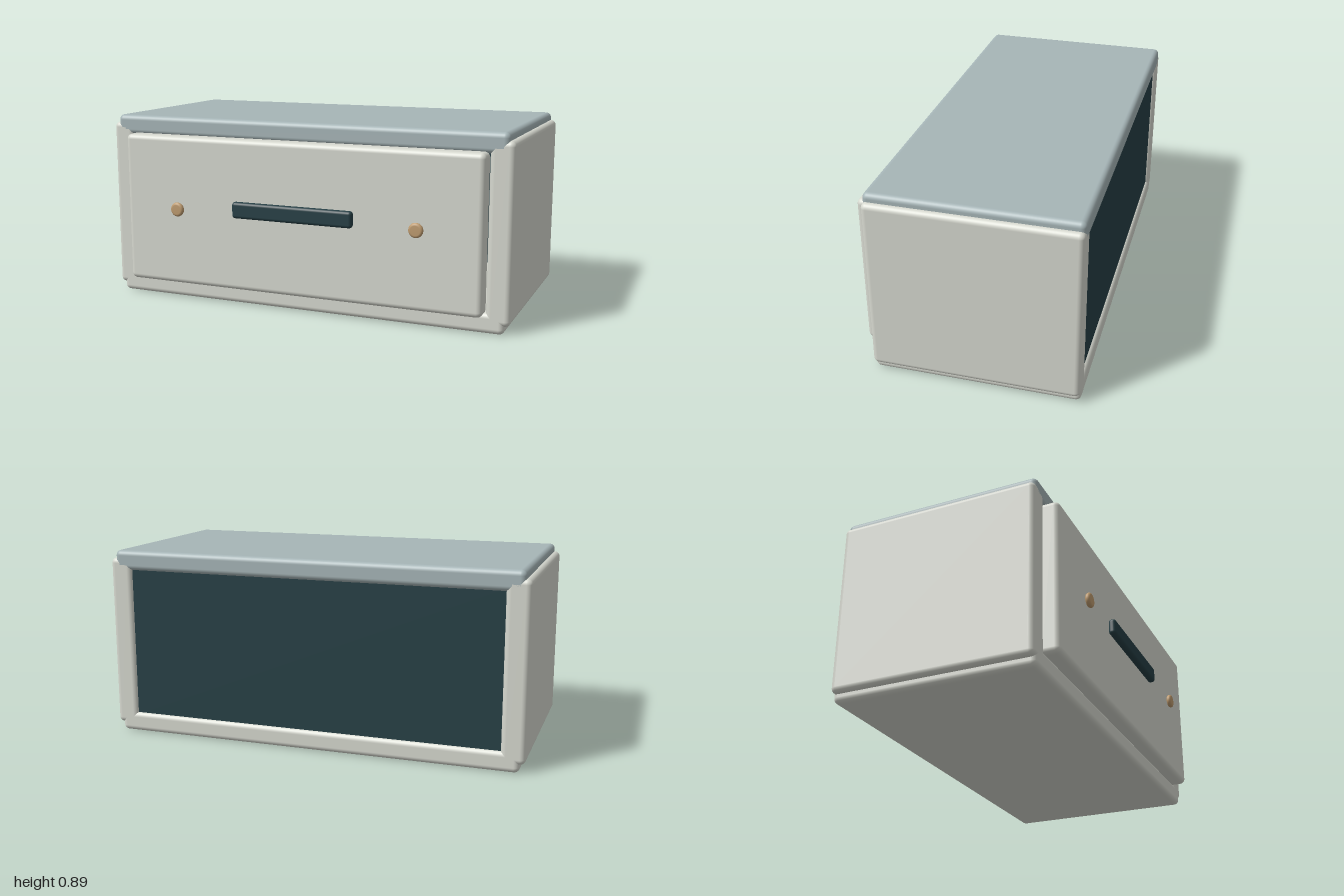
import * as THREE from 'three';
import { RoundedBoxGeometry } from 'three/addons/geometries/RoundedBoxGeometry.js';

const mat = (color) => new THREE.MeshStandardMaterial({ color });

export function createModel() {
  const group = new THREE.Group();
  const shell = mat(0xd6d8cf);
  const lid = mat(0xa6b5b7);
  const dark = mat(0x263f45);
  const brass = mat(0xbf9c70);

  // Rounded box given by its min and max corners
  const box = (name, [x0, y0, z0], [x1, y1, z1], radius, material) => {
    const mesh = new THREE.Mesh(new RoundedBoxGeometry(x1 - x0, y1 - y0, z1 - z0, 4, radius), material);
    mesh.position.set((x0 + x1) / 2, (y0 + y1) / 2, (z0 + z1) / 2);
    mesh.name = name;
    group.add(mesh);
  };

  // Case panels
  box('bottomPanel', [-0.975, 0, -0.52], [0.975, 0.095, 0.42], 0.025, shell);
  box('topPanel', [-0.975, 0.795, -0.52], [0.975, 0.89, 0.42], 0.025, lid);
  box('leftPanel', [0.89, 0.038, -0.52], [1, 0.853, 0.42], 0.025, shell);
  box('rightPanel', [-1, 0.038, -0.52], [-0.89, 0.853, 0.42], 0.025, shell);
  box('backPanel', [-0.91, 0.07, -0.505], [0.91, 0.82, -0.46], 0.008, dark);

  // Drawer front and handle
  box('drawerFront', [-0.89, 0.085, 0.385], [0.89, 0.805, 0.485], 0.025, shell);
  box('handle', [-0.3, 0.44, 0.483], [0.3, 0.517, 0.519], 0.015, dark);

  // Round studs: a disc with a rounded rim
  const profile = [new THREE.Vector2(0, -0.012)];
  for (let i = 0; i <= 8; i++) {
    const a = -Math.PI / 2 + (Math.PI * i) / 8;
    profile.push(new THREE.Vector2(0.022 + 0.012 * Math.cos(a), 0.012 * Math.sin(a)));
  }
  profile.push(new THREE.Vector2(0, 0.012));
  const studGeometry = new THREE.LatheGeometry(profile, 32).rotateX(Math.PI / 2);
  for (const side of [1, -1]) {
    const stud = new THREE.Mesh(studGeometry, brass);
    stud.name = side > 0 ? 'leftStud' : 'rightStud';
    stud.position.set(side * 0.597, 0.458, 0.507);
    group.add(stud);
  }
  return group;
}
